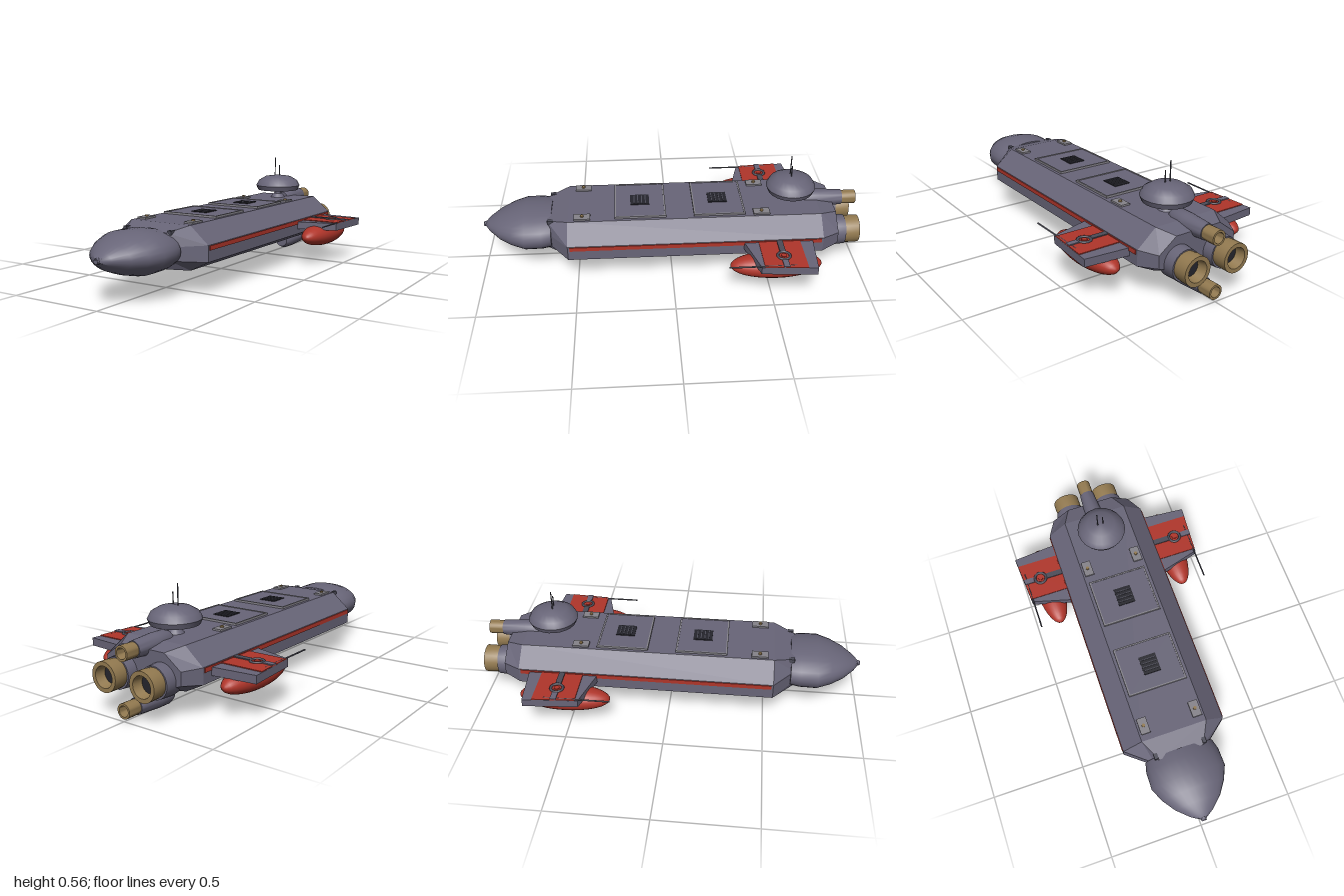
import * as THREE from 'three';
import { toCreasedNormals } from 'three/addons/utils/BufferGeometryUtils.js';

const mat = (name, color) => {
  const m = new THREE.MeshStandardMaterial({ color });
  m.name = name;
  return m;
};

export function createModel() {
  const hullGrey = mat('hullGrey', 0x686578);
  const red = mat('red', 0xb0352a);
  const brass = mat('brass', 0x937a50);
  const paleGrey = mat('paleGrey', 0x85838a);
  const dark = mat('dark', 0x25252c);
  const steel = mat('steel', 0x4c4c58);

  const root = new THREE.Group();
  root.name = 'spaceship';

  const add = (name, geo, material, x = 0, y = 0, z = 0, parent = root) => {
    const m = new THREE.Mesh(geo, material);
    m.name = name;
    m.position.set(x, y, z);
    parent.add(m);
    return m;
  };
  const box = (name, w, h, d, material, x, y, z, parent) =>
    add(name, new THREE.BoxGeometry(w, h, d), material, x, y, z, parent);
  // Lathe turned so that its axis points forward (dir 1) or backward (dir -1)
  const turned = (pts, dir, segs = 24, crease = 0.6) => toCreasedNormals(
    new THREE.LatheGeometry(pts.map(p => new THREE.Vector2(...p)), segs).rotateX(dir * Math.PI / 2), crease);
  // Flat plate from x,z corners, hanging down from y = 0
  const plate = (pts, depth) => new THREE.ExtrudeGeometry(
    new THREE.Shape(pts.map(p => new THREE.Vector2(...p))), { depth, bevelEnabled: false }).rotateX(Math.PI / 2);

  // Hull: octagonal cross-sections lofted from back to front
  // z, half width, deck half width, bottom y, lower edge, upper edge, top y
  const rings = [
    [-0.87, 0.225, 0.13, 0.14, 0.175, 0.24, 0.31],
    [-0.78, 0.275, 0.175, 0.115, 0.165, 0.245, 0.33],
    [0.54, 0.275, 0.175, 0.115, 0.165, 0.245, 0.33],
    [0.65, 0.14, 0.12, 0.135, 0.175, 0.24, 0.305],
  ].map(([z, w, t, y0, y1, y2, y3]) => [
    [t, y0, z], [w, y1, z], [w, y2, z], [t, y3, z],
    [-t, y3, z], [-w, y2, z], [-w, y1, z], [-t, y0, z]]);
  const pos = [];
  const tri = (...ps) => ps.forEach(p => pos.push(...p));
  for (let r = 0; r < rings.length - 1; r++) {
    for (let i = 0; i < 8; i++) {
      const j = (i + 1) % 8, b = rings[r], f = rings[r + 1];
      tri(b[i], b[j], f[j]);
      tri(b[i], f[j], f[i]);
    }
  }
  const back = rings[0], front = rings[rings.length - 1];
  for (let i = 1; i < 7; i++) {
    tri(front[0], front[i], front[i + 1]);
    tri(back[0], back[i + 1], back[i]);
  }
  const hullGeo = new THREE.BufferGeometry();
  hullGeo.setAttribute('position', new THREE.Float32BufferAttribute(pos, 3));
  hullGeo.computeVertexNormals();
  add('hull', hullGeo, hullGrey);

  // Nose: flattened turned cone with a small blunt tip
  const nose = turned([[0, 0.63], [0.185, 0.63], [0.198, 0.68], [0.2, 0.77], [0.168, 0.84],
    [0.122, 0.905], [0.06, 0.962], [0.015, 0.99], [0.013, 1], [0, 1]], 1, 28, 0.7);
  nose.scale(1, 0.53, 1);
  add('nose', nose, hullGrey, 0, 0.22, 0);
  add('noseTip', new THREE.CylinderGeometry(0.013, 0.015, 0.014, 12).rotateX(Math.PI / 2), hullGrey, 0, 0.22, 0.99);

  // Deck hatches with raised rims and slatted vents
  for (const z of [-0.25, 0.163]) {
    const hatch = new THREE.Group();
    hatch.name = 'deckHatch';
    hatch.position.set(0, 0.33, z);
    root.add(hatch);
    box('hatchPanel', 0.306, 0.012, 0.256, hullGrey, 0, 0.002, 0, hatch);
    for (const s of [-1, 1]) {
      box('hatchRimSide', 0.008, 0.016, 0.266, paleGrey, s * 0.155, 0.003, 0, hatch);
      box('hatchRimEnd', 0.318, 0.016, 0.008, paleGrey, 0, 0.003, s * 0.13, hatch);
    }
    box('ventBase', 0.092, 0.008, 0.1, dark, 0, 0.008, 0, hatch);
    for (let i = 0; i < 4; i++)
      box('ventSlat', 0.08, 0.006, 0.005, steel, 0, 0.012, -0.03 + i * 0.02, hatch);
  }

  // Parts mirrored left and right
  for (const s of [-1, 1]) {
    const side = s > 0 ? 'left' : 'right';

    for (const z of [-0.47, 0.465]) {
      box('deckCleat', 0.05, 0.012, 0.085, paleGrey, s * 0.14, 0.333, z);
      add('cleatKnob', new THREE.CylinderGeometry(0.009, 0.009, 0.008, 10), brass, s * 0.14, 0.342, z);
    }
    box(side + 'BowFitting', 0.02, 0.02, 0.03, steel, s * 0.13, 0.305, 0.63);
    box(side + 'SideStripe', 0.008, 0.022, 1.3, red, s * 0.275, 0.231, -0.12);

    const wing = new THREE.Group();
    wing.name = side + 'Wing';
    root.add(wing);
    add('wingSlab', plate([[s * 0.25, -0.36], [s * 0.485, -0.425], [s * 0.505, -0.703], [s * 0.25, -0.725]], 0.04),
      hullGrey, 0, 0.234, 0, wing);
    add('wingPaint', plate([[s * 0.276, -0.44], [s * 0.486, -0.44], [s * 0.5, -0.655], [s * 0.276, -0.655]], 0.006),
      red, 0, 0.238, 0, wing);
    box('innerWingBar', 0.09, 0.008, 0.03, steel, s * 0.32, 0.239, -0.548, wing);
    box('outerWingBar', 0.055, 0.008, 0.03, hullGrey, s * 0.465, 0.239, -0.548, wing);
    add('wingRing', new THREE.TorusGeometry(0.031, 0.007, 8, 24).rotateX(Math.PI / 2), steel,
      s * 0.4, 0.239, -0.548, wing);
    add('wingRingHub', new THREE.CylinderGeometry(0.014, 0.014, 0.008, 12), red, s * 0.4, 0.239, -0.548, wing);
    add('wingGun', new THREE.CylinderGeometry(0.004, 0.004, 0.335, 8).rotateX(Math.PI / 2), steel,
      s * 0.477, 0.235, -0.432, wing);

    const pod = new THREE.SphereGeometry(1, 24, 16).rotateX(Math.PI / 2);
    pod.scale(0.079, 0.065, 0.235);
    add(side + 'Pod', pod, red, s * 0.366, 0.16, -0.52);
  }

  // Hollow nozzle with a dark throat, opening backward
  const nozzle = (name, r, x, y) => {
    add(name, turned([[r * 0.6, 0.915], [r * 0.95, 0.915], [r, 0.955], [r, 1],
      [r * 0.72, 1], [r * 0.6, 0.95]], -1), brass, x, y, 0);
    add(name + 'Throat', new THREE.CircleGeometry(r * 0.64, 20).rotateY(Math.PI), dark, x, y, -0.951);
  };

  // Main engines
  for (const s of [-1, 1]) {
    add('mainEngine', turned([[0, 0.78], [0.07, 0.78], [0.083, 0.85], [0.078, 0.925], [0, 0.925]], -1),
      hullGrey, s * 0.115, 0.184, 0);
    nozzle('mainNozzle', 0.073, s * 0.115, 0.186);
  }
  // Upper and lower centre engines
  for (const y of [0.316, 0.05]) {
    add('centreEngine', turned([[0, 0.7], [0.037, 0.7], [0.048, 0.73], [0.048, 0.8], [0.04, 0.925], [0, 0.925]], -1),
      hullGrey, 0, y, 0);
    nozzle('centreNozzle', 0.037, 0, y);
  }
  box('lowerEnginePylon', 0.07, 0.09, 0.13, hullGrey, 0, 0.115, -0.79);

  // Sensor dome with pedestal and antennas
  add('domePedestal', new THREE.CylinderGeometry(0.02, 0.02, 0.07, 16), hullGrey, 0, 0.35, -0.645);
  add('pedestalBase', new THREE.CylinderGeometry(0.025, 0.045, 0.025, 16), hullGrey, 0, 0.34, -0.645);
  const domePts = [[0, 0.375], [0.12, 0.375], [0.131, 0.402], [0.115, 0.432], [0.076, 0.455], [0, 0.466]]
    .map(p => new THREE.Vector2(...p));
  add('sensorDome', toCreasedNormals(new THREE.LatheGeometry(domePts, 24), 0.8), hullGrey, 0, 0, -0.645);
  for (const [x, top] of [[-0.018, 0.567], [0.012, 0.524]])
    add('antenna', new THREE.CylinderGeometry(0.003, 0.003, top - 0.45, 8), steel, x, (top + 0.45) / 2, -0.642);

  return root;
}
